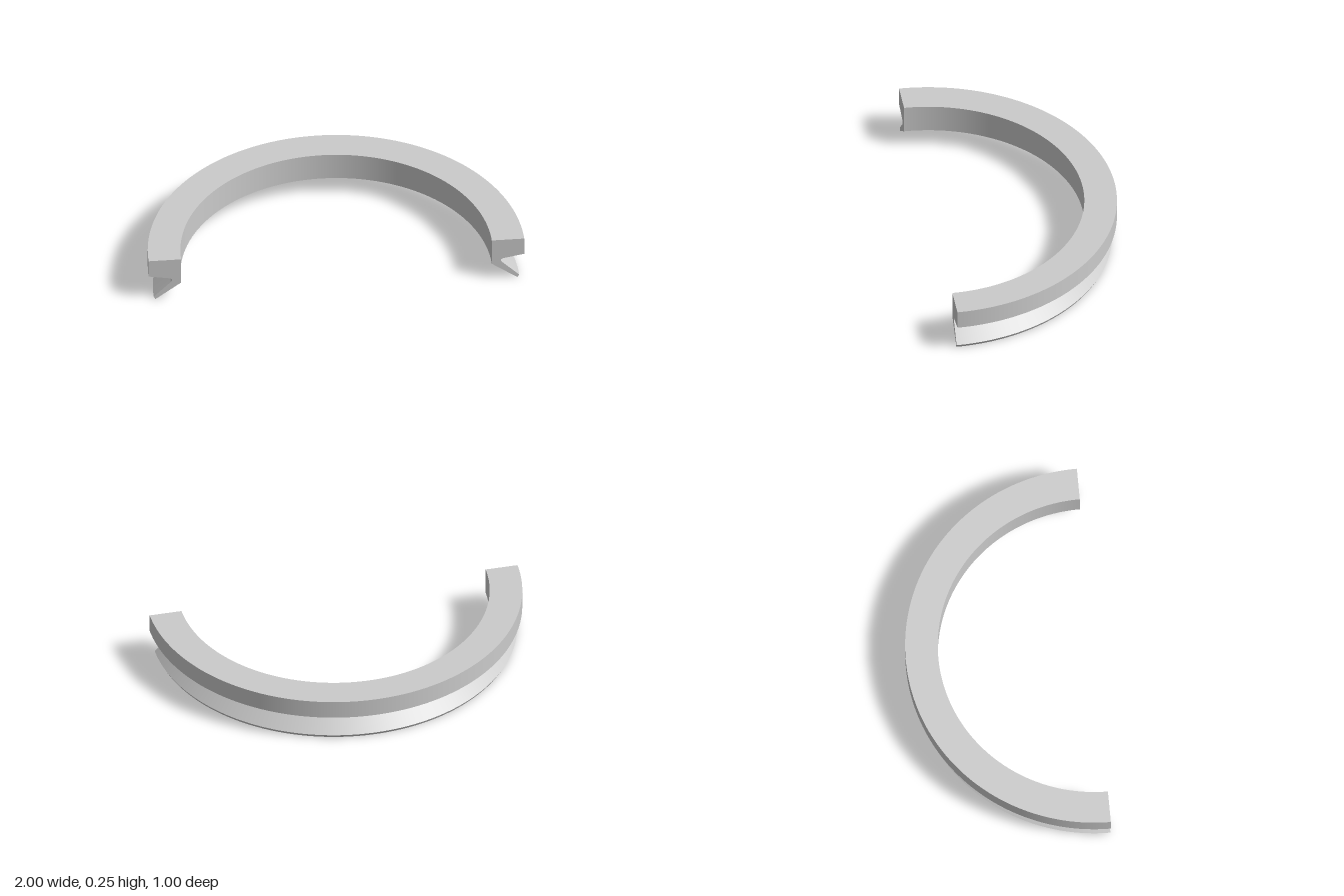
import * as THREE from 'three';

export function createModel() {
  const model = new THREE.Group();
  const material = new THREE.MeshStandardMaterial({ color: 0xcccccc });
  const centreZ = 0.5;
  const v = (r, y) => new THREE.Vector2(r, y);

  // Corners of the seal section: radius and height
  const lipBottom = v(0.964, 0), lipTip = v(0.973, 0.017);
  const outerLow = v(1, 0.153), outerTop = v(1, 0.255);
  const innerTop = v(0.827, 0.255), innerLow = v(0.827, 0.1);

  // Rounded root of the groove between the lip and the body
  const root = new THREE.QuadraticBezierCurve(v(0.885, 0.105), v(0.862, 0.128), v(0.894, 0.134)).getPoints(12);

  // Each run is smooth; edges between runs stay sharp
  const runs = {
    lipEdge: [lipBottom, lipTip],
    groove: [lipTip, ...root, outerLow],
    outerWall: [outerLow, outerTop],
    topFace: [outerTop, innerTop],
    innerWall: [innerTop, innerLow],
    lipUnderside: [innerLow, lipBottom],
  };

  // Half-turn surfaces
  for (const [name, points] of Object.entries(runs)) {
    const mesh = new THREE.Mesh(new THREE.LatheGeometry(points, 128, Math.PI / 2, Math.PI), material);
    mesh.name = name;
    mesh.position.z = centreZ;
    model.add(mesh);
  }

  // Flat cut ends, mirrored left and right
  const section = [lipBottom, lipTip, ...root, outerLow, outerTop, innerTop, innerLow];
  for (const side of [1, -1]) {
    const shape = new THREE.Shape(section.map((p) => v(side * p.x, p.y)));
    const end = new THREE.Mesh(new THREE.ShapeGeometry(shape), material);
    end.name = side > 0 ? 'leftCutEnd' : 'rightCutEnd';
    end.position.z = centreZ;
    model.add(end);
  }

  return model;
}
